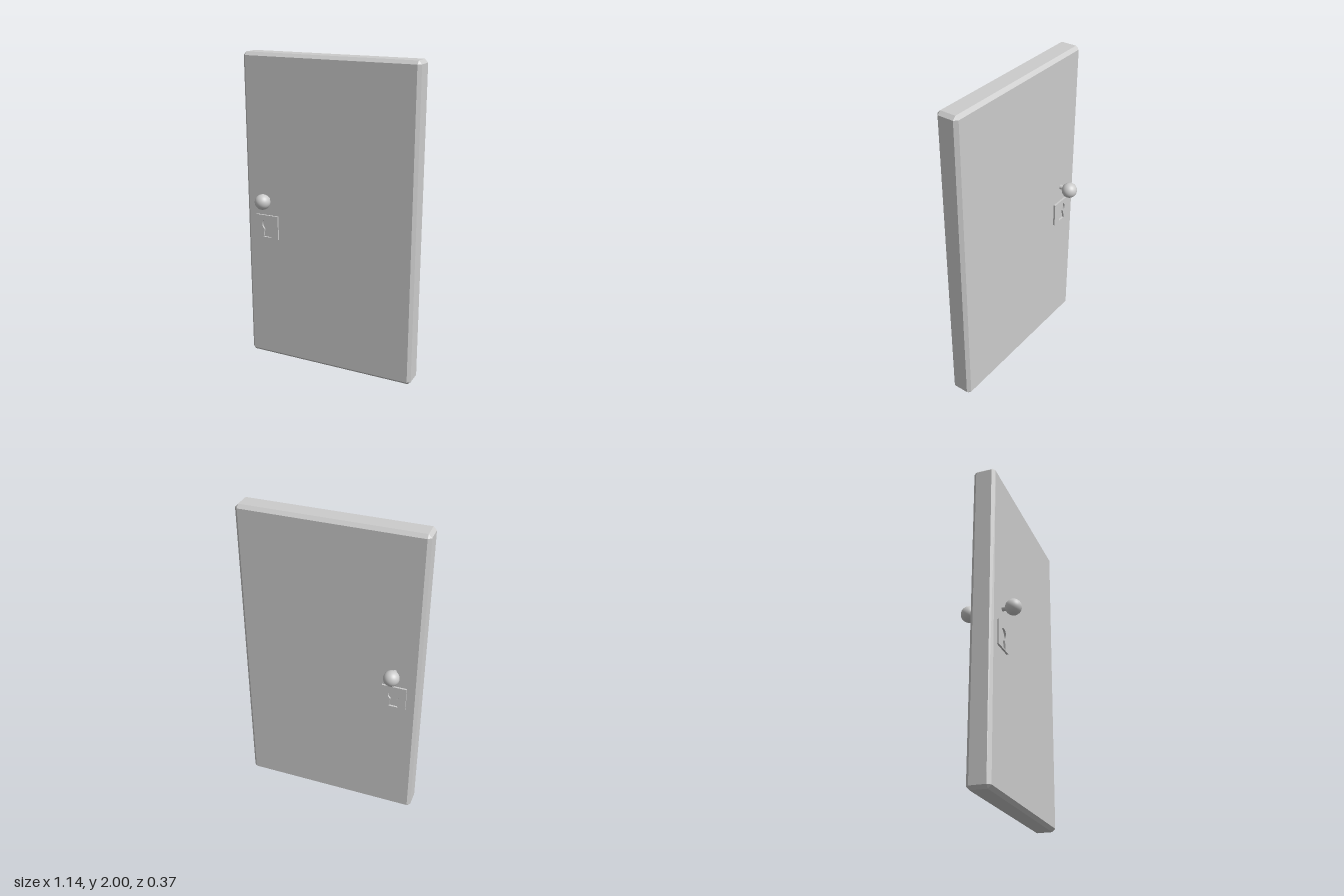
import * as THREE from 'three';
import { ConvexGeometry } from 'three/addons/geometries/ConvexGeometry.js';

const material = new THREE.MeshStandardMaterial({ color: 0xcccccc });

function addMesh(parent, name, geometry, x = 0, y = 0, z = 0) {
  const mesh = new THREE.Mesh(geometry, material);
  mesh.name = name;
  mesh.position.set(x, y, z);
  parent.add(mesh);
  return mesh;
}

// Box with every edge and corner chamfered by c
function chamferedBox(w, h, d, c) {
  const points = [];
  for (const sx of [-1, 1]) for (const sy of [-1, 1]) for (const sz of [-1, 1]) {
    for (let face = 0; face < 3; face++) {
      const inset = [c, c, c];
      inset[face] = 0;
      points.push(new THREE.Vector3(
        sx * (w / 2 - inset[0]), sy * (h / 2 - inset[1]), sz * (d / 2 - inset[2])));
    }
  }
  return new ConvexGeometry(points);
}

// Square plate pierced by a keyhole: round head above a slightly flared slot
function lockPlateGeometry(size, thickness) {
  const s = size / 2;
  const plate = new THREE.Shape([
    new THREE.Vector2(-s, -s), new THREE.Vector2(s, -s),
    new THREE.Vector2(s, s), new THREE.Vector2(-s, s),
  ]);
  const radius = 0.036, headY = 0.016, neck = 0.02;
  const a = Math.acos(neck / radius);
  const hole = new THREE.Path();
  hole.moveTo(-0.028, -0.069);
  hole.lineTo(0.028, -0.069);
  hole.lineTo(neck, headY - radius * Math.sin(a));
  hole.absarc(0, headY, radius, -a, Math.PI + a, false);
  hole.closePath();
  plate.holes.push(hole);
  return new THREE.ExtrudeGeometry(plate, { depth: thickness, bevelEnabled: false, curveSegments: 16 });
}

export function createModel() {
  const model = new THREE.Group();
  model.name = 'door';

  const width = 1.14, height = 2, depth = 0.14;
  addMesh(model, 'doorPanel', chamferedBox(width, height, depth, 0.02), 0, height / 2, 0);

  // Knob and lock plate on both faces
  const stemGeometry = new THREE.CylinderGeometry(0.015, 0.015, 0.06, 24).rotateX(Math.PI / 2);
  const knobGeometry = new THREE.SphereGeometry(0.049, 32, 24);
  const plateGeometry = lockPlateGeometry(0.155, 0.012);
  for (const side of [1, -1]) {
    const hardware = new THREE.Group();
    hardware.name = side > 0 ? 'frontHardware' : 'backHardware';
    hardware.position.x = -0.415;
    hardware.rotation.y = side > 0 ? 0 : Math.PI;
    addMesh(hardware, 'knobStem', stemGeometry, 0, 1.09, 0.09);
    addMesh(hardware, 'knob', knobGeometry, 0, 1.09, 0.138);
    addMesh(hardware, 'lockPlate', plateGeometry, -0.005 * side, 0.907, depth / 2);
    model.add(hardware);
  }
  return model;
}
